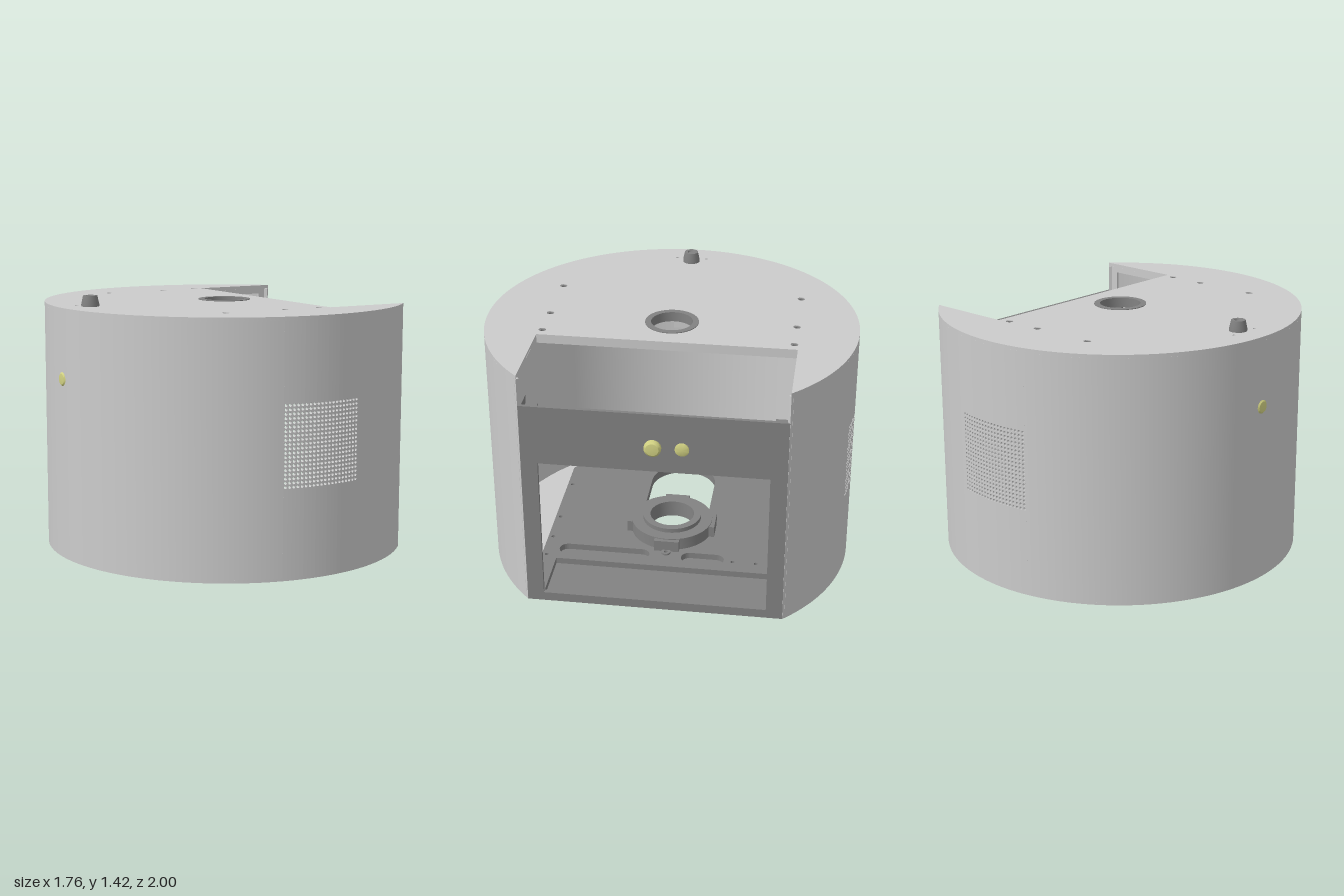
import * as THREE from 'three';
import { mergeGeometries, toCreasedNormals } from 'three/addons/utils/BufferGeometryUtils.js';

const CX = 0.125, H = 1.36, HALF = 0.688;      // drum axis, height, half width of the cut side
const CUT = Math.acos(0.725);                  // angle where the flat side meets the drum
const BASE = Math.asin(HALF / 0.9);            // half angle of the chassis' rounded end
const MESH = 0.23;                             // half angle of a vent panel

const material = (color) => new THREE.MeshStandardMaterial({ color, side: THREE.DoubleSide });

export function createModel() {
  const light = material(0xcccccc), dark = material(0x828282), yellow = material(0xd2d283);
  const model = new THREE.Group();
  model.name = 'drumHousing';

  const add = (name, geometry, mat, x = 0, y = 0, z = 0) => {
    const mesh = new THREE.Mesh(geometry, mat);
    mesh.name = name;
    mesh.position.set(x, y, z);
    model.add(mesh);
    return mesh;
  };
  const box = (name, mat, x0, x1, y0, y1, z0, z1) =>
    add(name, new THREE.BoxGeometry(x1 - x0, y1 - y0, z1 - z0), mat, (x0 + x1) / 2, (y0 + y1) / 2, (z0 + z1) / 2);

  // Plan outline (x, -z) raised from y0 to y1
  const slab = (shape, y0, y1) => {
    const g = new THREE.ExtrudeGeometry(shape, { depth: y1 - y0, bevelEnabled: false, curveSegments: 72 });
    g.rotateX(-Math.PI / 2).translate(0, y0, 0);
    return toCreasedNormals(g, 0.4);
  };
  const lathe = (pts, segments = 48) =>
    toCreasedNormals(new THREE.LatheGeometry(pts.map(([r, y]) => new THREE.Vector2(r, y)), segments), 0.5);
  const ring = (inner, outer, y0, y1, segments) =>
    lathe([[inner, y0], [outer, y0], [outer, y1], [inner, y1], [inner, y0]], segments);
  const circle = (x, z, r) => new THREE.Path().absarc(x, -z, r, 0, Math.PI * 2, false);
  const rect = (x0, x1, z0, z1) => new THREE.Path([
    [x0, -z0], [x1, -z0], [x1, -z1], [x0, -z1], [x0, -z0]].map((p) => new THREE.Vector2(...p)));
  const slotZ = (x, z0, z1, r) => new THREE.Path()
    .absarc(x, -z0 - r, r, 0, Math.PI, false).absarc(x, -z1 + r, r, Math.PI, Math.PI * 2, false).closePath();
  const slotX = (x0, x1, r) => new THREE.Path()
    .absarc(x1, 0, r, -Math.PI / 2, Math.PI / 2, false)
    .absarc(x0, 0, r, Math.PI / 2, Math.PI * 1.5, false).closePath();

  // Curved shell wall, split around the two vent panels
  const wall = (a, b) => {
    const s = new THREE.Shape();
    s.absarc(CX, 0, 1, a, b, false);
    s.absarc(CX, 0, 0.98, b, a, true);
    return slab(s, 0.015, H - 0.02);
  };
  const q = Math.PI / 2;
  add('backWall', wall(CUT, q - MESH), light);
  add('sideWall', wall(q + MESH, 3 * q - MESH), light);
  add('frontWall', wall(3 * q + MESH, 4 * q - CUT), light);

  // Vent panels: narrow upright strips, each with a column of holes
  const COLS = 20, step = (2 * MESH) / COLS, w = Math.tan(step / 2);
  const strip = new THREE.Shape([[-w, 0.015], [w, 0.015], [w, H - 0.02], [-w, H - 0.02]]
    .map((p) => new THREE.Vector2(...p)));
  for (let i = 0; i < 20; i++) {
    strip.holes.push(new THREE.Path().absarc(0, 0.49 + i * 0.0222, 0.0078, 0, Math.PI * 2, true));
  }
  const stripGeometry = new THREE.ExtrudeGeometry(strip, { depth: 0.02, bevelEnabled: false, curveSegments: 8 });
  stripGeometry.translate(0, 0, 0.98);
  for (const [name, turn] of [['frontVent', 0], ['backVent', Math.PI]]) {
    const columns = [];
    for (let i = 0; i < COLS; i++) {
      columns.push(stripGeometry.clone().rotateY(turn + (i - (COLS - 1) / 2) * step));
    }
    add(name, mergeGeometries(columns), light, CX);
  }

  // Top plate with the rectangular notch, centre hole and screw holes
  const top = new THREE.Shape();
  top.absarc(CX, 0, 1, CUT, 4 * q - CUT, false);
  top.lineTo(0.37, -HALF);
  top.lineTo(0.37, HALF);
  top.holes.push(circle(CX, 0, 0.14));
  const topScrews = [-0.26, 0.1, 0.31].flatMap((x) => [[x, 0.667], [x, -0.667]]);
  topScrews.forEach(([x, z]) => top.holes.push(circle(x, z, 0.02)));
  for (const z of [-0.085, 0.085]) top.holes.push(circle(-0.745, z, 0.009));
  add('topPlate', slab(top, H - 0.02, H), light);
  topScrews.forEach(([x, z]) => add('topScrew', ring(0.01, 0.021, H - 0.025, H - 0.004, 16), dark, x, 0, z));
  add('topRing', ring(0.112, 0.144, H - 0.05, H + 0.004), dark, CX);

  // Folded edges of the notch
  box('notchFlange', light, 0.355, 0.37, 1.31, H - 0.02, -HALF, HALF);
  for (const s of [-1, 1]) {
    const z = s * (HALF + 0.006);
    box('notchSideFlange', light, 0.26, 0.82, 1.31, H - 0.02, z - 0.006, z + 0.006);
    box('shellEdgeFlange', light, 0.78, 0.84, 0.015, H - 0.02, z - 0.006, z + 0.006);
  }

  // Shell lip around the chassis at the bottom
  const lip = new THREE.Shape();
  lip.absarc(CX, 0, 1, CUT, 4 * q - CUT, false);
  lip.absarc(CX, 0, 0.9, Math.PI + BASE, Math.PI - BASE, true);
  add('bottomLip', slab(lip, 0, 0.015), light);

  // Chassis floor: thin skin below, pocketed layer above
  const floorShape = () => {
    const s = new THREE.Shape();
    s.moveTo(0.83, -HALF);
    s.lineTo(0.83, HALF);
    s.absarc(CX, 0, 0.9, Math.PI - BASE, Math.PI + BASE, false);
    s.holes.push(slotX(-0.38, CX, 0.19));
    const screws = [[0.43, -0.51], [0.43, -0.38], [0.39, 0]];
    for (const x of [-0.26, 0.1, 0.31, 0.49, 0.76]) screws.push([x, 0.66], [x, -0.66]);
    screws.forEach(([x, z]) => s.holes.push(circle(x, z, 0.011)));
    return s;
  };
  const upper = floorShape();
  upper.holes.push(rect(0.52, 0.825, -0.6, 0.6), slotZ(0.42, -0.33, -0.09, 0.048), slotZ(0.42, 0.09, 0.6, 0.048));
  add('floorSkin', slab(floorShape(), 0, 0.015), dark);
  add('floorLayer', slab(upper, 0.015, 0.05), dark);
  add('floorScrew', ring(0.011, 0.026, 0.05, 0.06, 16), dark, 0.39);

  // Stepped bearing ring on the floor, with small lugs
  add('bearingRing', lathe([[0.125, 0.05], [0.23, 0.05], [0.23, 0.12], [0.165, 0.12], [0.165, 0.145],
    [0.125, 0.145], [0.125, 0.05]]), dark, CX);
  for (let i = 0; i < 4; i++) {
    const lug = add('bearingLug', new THREE.BoxGeometry(0.05, 0.065, 0.14), dark);
    lug.position.set(CX + 0.225 * Math.cos(i * q), 0.083, 0.225 * Math.sin(i * q));
    lug.rotation.y = -i * q;
  }

  // Flat panel with the large opening
  const panel = new THREE.Shape([[-HALF, 0], [HALF, 0], [HALF, 1.19], [-HALF, 1.19]]
    .map((p) => new THREE.Vector2(...p)));
  panel.holes.push(new THREE.Path([[-0.6, 0.05], [0.6, 0.05], [0.6, 0.86], [-0.6, 0.86]]
    .map((p) => new THREE.Vector2(...p))));
  const panelGeometry = new THREE.ExtrudeGeometry(panel, { depth: 0.02, bevelEnabled: false });
  add('openingPanel', panelGeometry.rotateY(q), dark, 0.83);
  for (const s of [-1, 1]) {
    const z = s * (HALF - 0.008);
    box('panelSideFlange', dark, 0.73, 0.83, 0.05, 1.19, z - 0.007, z + 0.007);
    box('cornerBracket', dark, 0.73, 0.83, 1.13, 1.145, s * 0.645 - 0.035, s * 0.645 + 0.035);
    add('flangeScrew', ring(0.01, 0.024, -0.012, 0.012, 16).rotateX(q), dark, 0.77, 0.5, s * 0.665);
  }

  // Panel buttons, with the circuit board and its parts behind
  const dome = (r, d) => lathe([[0, 0], [r, 0], [r, d * 0.5], [r * 0.75, d * 0.85], [0, d]], 24).rotateZ(-q);
  add('largeButton', dome(0.045, 0.03), yellow, 0.85, 1.0, 0);
  add('smallButton', dome(0.037, 0.012), yellow, 0.85, 1.0, -0.15);
  box('circuitBoard', light, 0.785, 0.803, 0.94, 1.06, -0.2, 0.18);
  box('boardPart', yellow, 0.74, 0.785, 0.97, 1.03, 0, 0.055);
  box('boardPart', yellow, 0.745, 0.785, 0.98, 1.02, -0.09, -0.065);
  const post = (name, r0, r1, x0, x1, z) => add(name,
    new THREE.CylinderGeometry(r1, r0, x1 - x0, 20).rotateZ(-q), yellow, (x0 + x1) / 2, 1.0, z);
  post('jackBody', 0.026, 0.026, 0.72, 0.83, -0.15);
  post('jackTip', 0.008, 0.016, 0.64, 0.72, -0.15);
  post('buttonStem', 0.03, 0.03, 0.803, 0.83, 0);

  // Knob on top with its bracket beneath, and the button on the rounded side
  add('knob', lathe([[0, -0.02], [0.048, -0.02], [0.048, 0.012], [0.038, 0.058], [0.022, 0.058],
    [0.018, 0.05], [0, 0.05]], 16), dark, -0.705, H);
  box('knobBracket', light, -0.77, -0.755, 0.9, 1.3, -0.11, 0.11);
  box('knobBracketTop', light, -0.77, -0.65, 1.3, H - 0.02, -0.11, 0.11);
  add('sideButton', dome(0.04, 0.025).rotateY(Math.PI), yellow, -0.86, 0.98, 0);

  return model;
}
